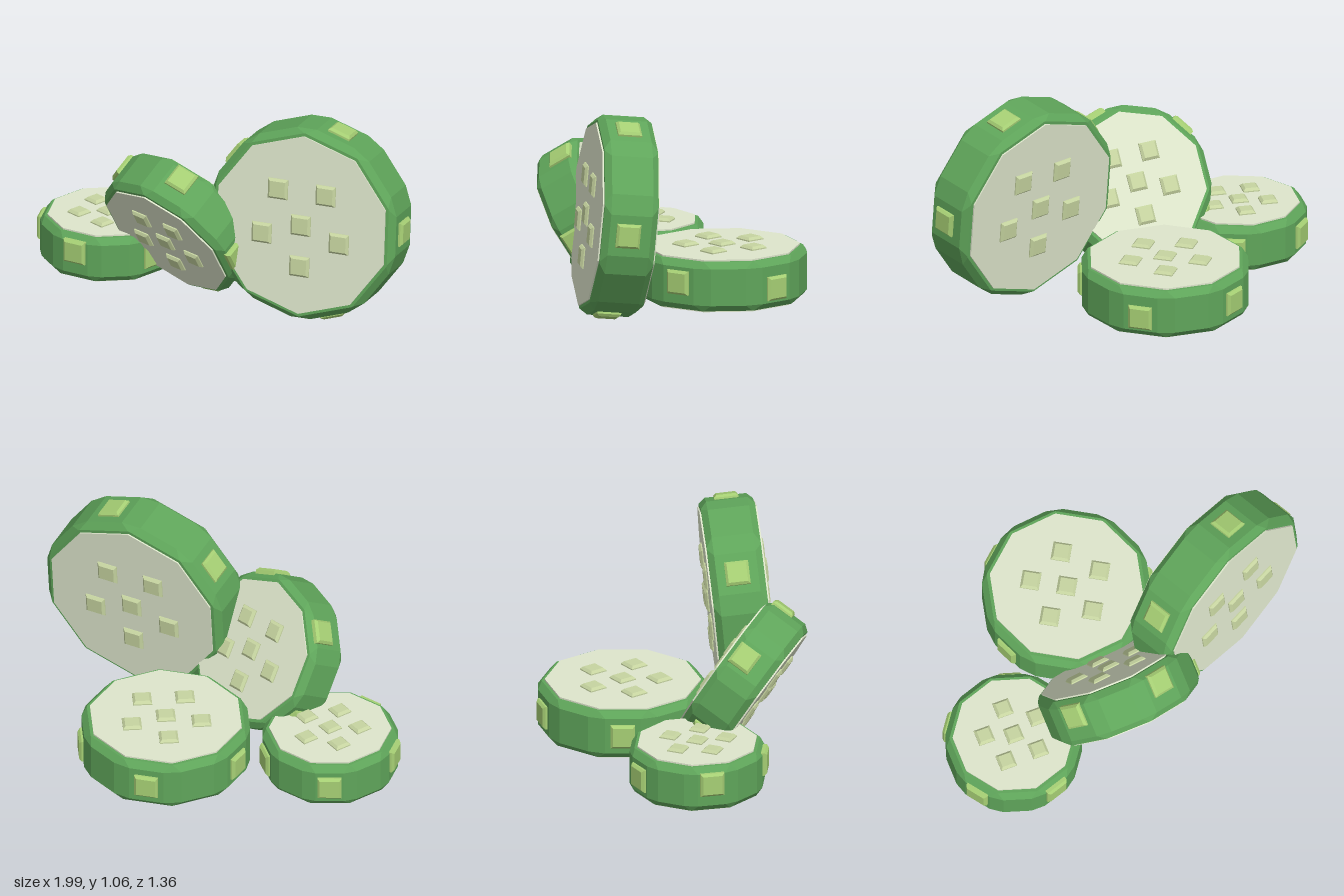
import * as THREE from 'three';

const material = (color) => new THREE.MeshStandardMaterial({ color, flatShading: true });
const skinMat = material(0x5fa55a);
const fleshMat = material(0xdde5cb);
const seedMat = material(0xc6d4a0);
const bumpMat = material(0xa6cf74);
const rad = THREE.MathUtils.degToRad;

function addMesh(parent, name, geometry, mat) {
  const mesh = new THREE.Mesh(geometry, mat);
  mesh.name = name;
  parent.add(mesh);
  return mesh;
}

// Ten-sided rind with bevelled corners, lofted along z from cross-sections
function rindGeometry(R, h) {
  const levels = [ // radius, z, half angle of the corner bevel
    [0, -h + 0.008, 0.5], [R - 0.02, -h + 0.008, 0.5], [R, -h + 0.04, 6],
    [R, h - 0.04, 6], [R - 0.02, h - 0.008, 0.5], [0, h - 0.008, 0.5],
  ];
  const positions = [];
  const index = [];
  for (const [r, z, bevel] of levels) {
    for (let i = 0; i < 10; i++) {
      for (const side of [-1, 1]) {
        const a = rad(18 + 36 * i + side * bevel);
        positions.push(r * Math.cos(a), r * Math.sin(a), z);
      }
    }
  }
  for (let l = 0; l < levels.length - 1; l++) {
    for (let i = 0; i < 20; i++) {
      const a = l * 20 + i;
      const b = l * 20 + (i + 1) % 20;
      index.push(a, b, b + 20, a, b + 20, a + 20);
    }
  }
  const geometry = new THREE.BufferGeometry();
  geometry.setAttribute('position', new THREE.Float32BufferAttribute(positions, 3));
  geometry.setIndex(index);
  geometry.computeVertexNormals();
  return geometry;
}

// Small square pad with chamfered edges, centred on its origin
function padGeometry(size) {
  const bevel = 0.012;
  const s = size / 2 - bevel;
  const square = new THREE.Shape([
    new THREE.Vector2(-s, -s), new THREE.Vector2(s, -s),
    new THREE.Vector2(s, s), new THREE.Vector2(-s, s),
  ]);
  const geometry = new THREE.ExtrudeGeometry(square, {
    depth: 0.02, bevelEnabled: true, bevelSize: bevel, bevelThickness: bevel, bevelSegments: 1,
  });
  return geometry.translate(0, 0, -0.01);
}

function makeSlice({ name, R, h, center, normal, up, bumpStart, bumpShift }) {
  const slice = new THREE.Group();
  slice.name = name;

  addMesh(slice, 'rind', rindGeometry(R, h), skinMat);
  const flesh = new THREE.CylinderGeometry(R - 0.035, R - 0.035, 2 * h, 10).rotateX(Math.PI / 2);
  addMesh(slice, 'flesh', flesh, fleshMat);

  // Seeds on both faces: one in the middle, five around it
  const seed = padGeometry(0.04 + 0.13 * R);
  for (const side of [-1, 1]) {
    for (let i = 0; i < 6; i++) {
      const r = i < 5 ? 0.43 * R : 0;
      const a = rad(-90 + 72 * i);
      addMesh(slice, 'seed', seed, seedMat)
        .position.set(r * Math.cos(a), r * Math.sin(a), side * (h - 0.004));
    }
  }

  // Bumps on every second side of the rind
  const bump = padGeometry(0.122).rotateY(Math.PI / 2);
  const apothem = R * Math.cos(rad(12));
  for (let i = 0; i < 5; i++) {
    const a = rad(bumpStart + 72 * i);
    const mesh = addMesh(slice, 'rindBump', bump, bumpMat);
    mesh.position.set(apothem * Math.cos(a), apothem * Math.sin(a), bumpShift[i]);
    mesh.rotation.z = a;
  }

  // Orient: local z along the slice axis, local y towards up
  const z = new THREE.Vector3(...normal).normalize();
  const x = new THREE.Vector3(...up).cross(z).normalize();
  const y = new THREE.Vector3().crossVectors(z, x);
  slice.quaternion.setFromRotationMatrix(new THREE.Matrix4().makeBasis(x, y, z));
  slice.position.set(...center);
  return slice;
}

export function createModel() {
  const model = new THREE.Group();
  model.name = 'cucumberSlices';
  const slices = [
    {
      name: 'standingSlice', R: 0.505, h: 0.145, center: [0.485, 0.552, 0.437],
      normal: [-0.185, 0.095, 0.978], up: [0, 1, 0],
      bumpStart: 0, bumpShift: [0.01, 0, 0, 0, 0.02],
    },
    {
      name: 'leaningSlice', R: 0.4, h: 0.13, center: [-0.204, 0.405, 0.288],
      normal: [-0.46, -0.53, 0.71], up: [-0.22, 0.845, 0.49],
      bumpStart: 0, bumpShift: [0.04, -0.04, -0.04, 0, 0.04],
    },
    {
      name: 'flatBackSlice', R: 0.427, h: 0.134, center: [0.175, 0.162, -0.238],
      normal: [0, 1, 0], up: [0.36, 0, 0.93],
      bumpStart: 36, bumpShift: [0, 0.015, -0.02, 0, 0],
    },
    {
      name: 'flatSmallSlice', R: 0.342, h: 0.126, center: [-0.635, 0.15, -0.067],
      normal: [0, 1, 0], up: [-0.616, 0, 0.788],
      bumpStart: 36, bumpShift: [0.03, 0.035, 0, 0, 0],
    },
  ];
  for (const options of slices) model.add(makeSlice(options));
  return model;
}
